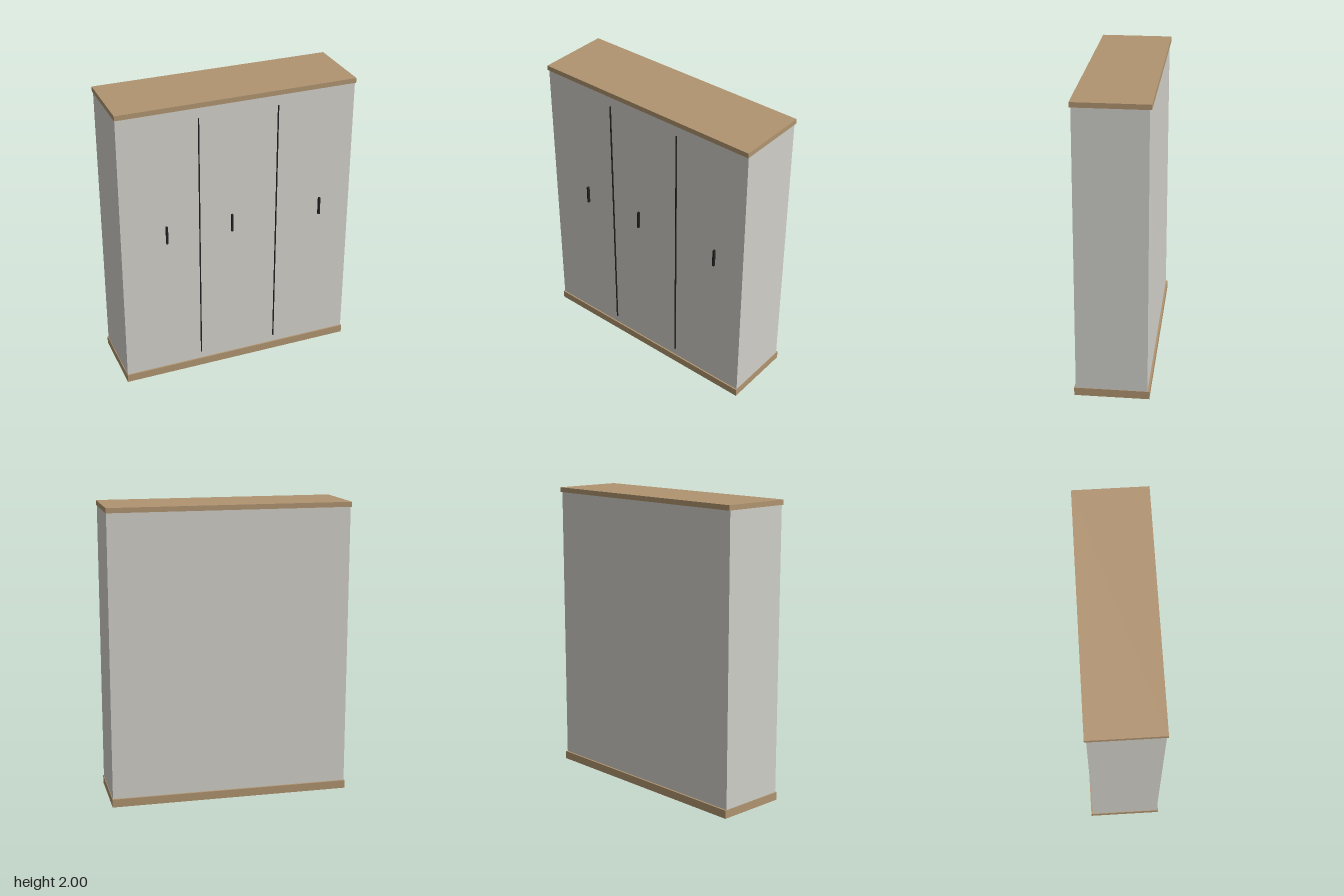
import * as THREE from 'three';

export function createModel() {
  const root = new THREE.Group();
  root.name = 'wardrobe';

  const paint = new THREE.MeshStandardMaterial({ color: 0xd0cfc9 });
  const wood = new THREE.MeshStandardMaterial({ color: 0xb09470 });
  const dark = new THREE.MeshStandardMaterial({ color: 0x222222 });

  // Box given by its extents along each axis
  function box(name, material, [x0, x1], [y0, y1], [z0, z1]) {
    const mesh = new THREE.Mesh(new THREE.BoxGeometry(x1 - x0, y1 - y0, z1 - z0), material);
    mesh.position.set((x0 + x1) / 2, (y0 + y1) / 2, (z0 + z1) / 2);
    mesh.name = name;
    root.add(mesh);
  }

  const front = 0.233; // face of the cabinet

  // Cabinet between a plinth and a top board that overhang it slightly
  box('cabinet', paint, [-0.812, 0.812], [0.055, 1.967], [-0.237, front]);
  box('plinth', wood, [-0.816, 0.816], [0, 0.055], [-0.25, 0.243]);
  box('topBoard', wood, [-0.816, 0.816], [1.967, 2], [-0.25, 0.243]);

  // Thin strips separating the three doors
  for (const x of [-0.273, 0.271]) {
    box('doorDivider', dark, [x - 0.003, x + 0.003], [0.11, 1.895], [front, 0.242]);
  }

  // One bar handle per door
  for (const x of [-0.502, -0.047, 0.588]) {
    box('doorHandle', dark, [x - 0.006, x + 0.006], [1.04, 1.165], [front, 0.25]);
  }

  return root;
}
